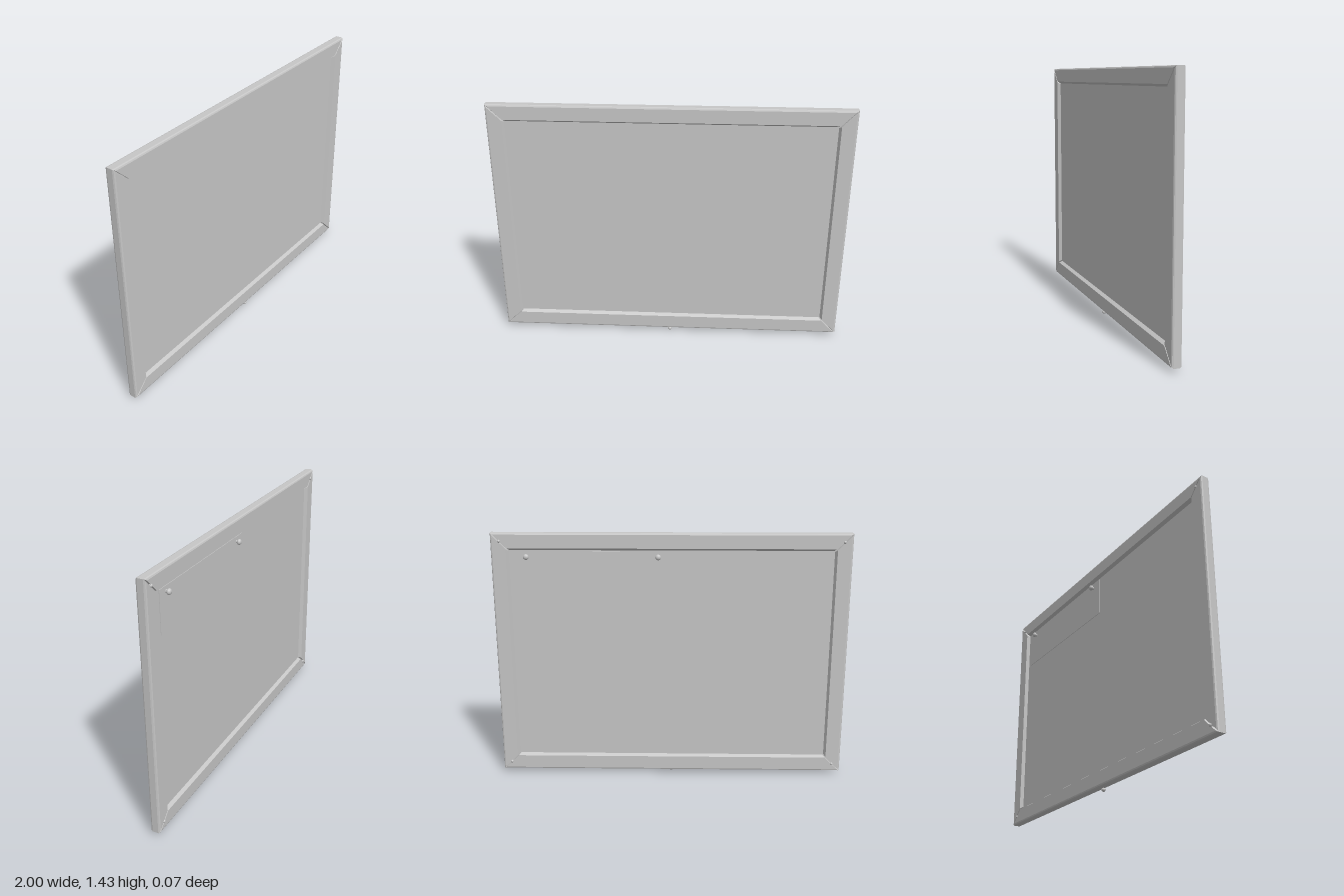
import * as THREE from 'three';

const W = 2, BOTTOM = 0.02, TOP = 1.43;
const H = TOP - BOTTOM, CY = (TOP + BOTTOM) / 2;
const FRONT = 0.033, BACK = -0.021;
const PANEL_FRONT = 0.014, PANEL_BACK = -0.002;
const GAP = 0.005; // half width of the seam at each mitre

// Mitred rail: the profile (distance inward, z) swept along x, ends cut at 45 degrees
function railGeometry(half) {
  const profile = new THREE.Shape([
    [0, 0.023], [0.003, 0.03], [0.01, FRONT], [0.085, FRONT], [0.097, PANEL_FRONT],
    [0.097, PANEL_BACK], [0.085, BACK], [0.01, BACK], [0.003, -0.018], [0, -0.011],
  ].map(([d, z]) => new THREE.Vector2(d, z)));
  const geo = new THREE.ExtrudeGeometry(profile, { depth: 2, bevelEnabled: false });
  const p = geo.attributes.position;
  for (let i = 0; i < p.count; i++) {
    const d = p.getX(i), z = p.getY(i), end = 1 - p.getZ(i);
    const gap = GAP * Math.min(1, d / 0.01); // seam closes at the outer edge
    p.setXYZ(i, end * (half - d - gap), -d, z);
  }
  geo.computeVertexNormals();
  return geo;
}

export function createModel() {
  const model = new THREE.Group();
  model.name = 'framedPanel';
  const grey = new THREE.MeshStandardMaterial({ color: 0xc6c6c6 });
  grey.name = 'lightGrey';

  const add = (name, geo, x, y, z) => {
    const mesh = new THREE.Mesh(geo, grey);
    mesh.name = name;
    mesh.position.set(x, y, z);
    model.add(mesh);
    return mesh;
  };

  // Recessed panel, its edge held inside the frame
  add('panel', new THREE.BoxGeometry(W - 0.02, H - 0.02, PANEL_FRONT - PANEL_BACK),
    0, CY, (PANEL_FRONT + PANEL_BACK) / 2);

  // Four frame rails
  ['topRail', 'rightRail', 'bottomRail', 'leftRail'].forEach((name, k) => {
    const upright = k % 2 === 1;
    const rail = add(name, railGeometry((upright ? H : W) / 2),
      [0, -W / 2, 0, W / 2][k], CY + [H / 2, 0, -H / 2, 0][k], 0);
    rail.rotation.z = k * Math.PI / 2;
  });

  // Thin cover plate on the back
  add('coverPlate', new THREE.BoxGeometry(0.865, 0.23, 0.003), 0.4325, 1.21, PANEL_BACK - 0.0015);

  // Two round knobs on the cover plate
  for (const x of [0.805, 0.072]) {
    const stem = add('knobStem', new THREE.CylinderGeometry(0.009, 0.009, 0.018, 20), x, 1.297, -0.011);
    stem.rotation.x = Math.PI / 2;
    const knob = add('knob', new THREE.SphereGeometry(0.016, 20, 14), x, 1.297, -0.021);
    knob.scale.z = 0.75;
  }

  // Small pins in the back corner seams
  for (const x of [-0.952, 0.952]) {
    for (const y of [0.066, 1.384]) {
      add('cornerPin', new THREE.SphereGeometry(0.009, 16, 12), x, y, -0.018);
    }
  }

  // Small stud under the bottom rail
  add('bottomStud', new THREE.SphereGeometry(0.012, 20, 14), 0, 0.012, 0.021);

  return model;
}
